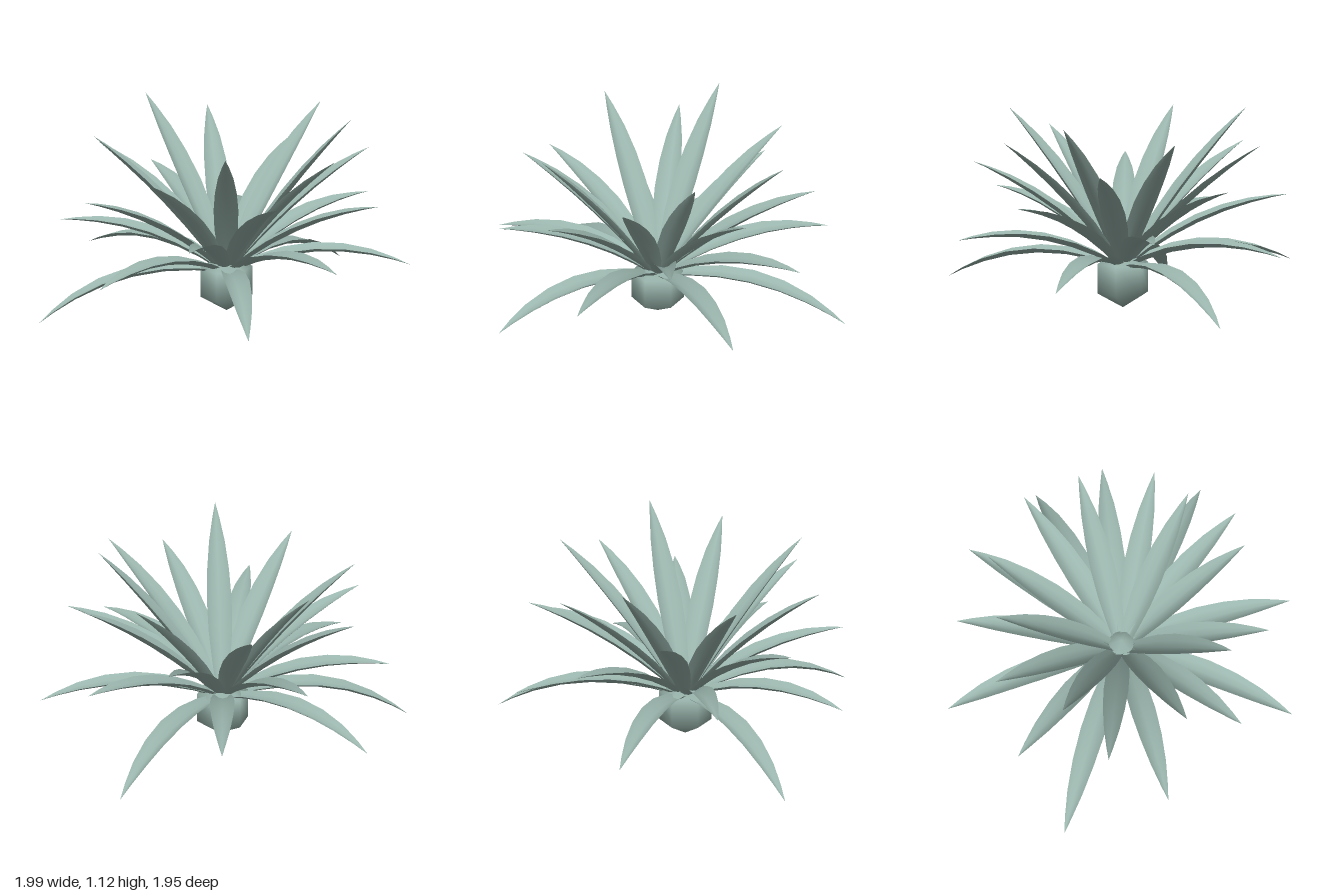
import * as THREE from 'three';

// Tip of every leaf: x, y, z, ordered from the drooping outer ones to the upright inner ones
const TIPS = [
  [-1.0, 0.0, 0.3], [0.52, 0.07, -0.92], [0.23, 0.14, 0.97], [-0.82, 0.21, -0.59],
  [0.99, 0.27, -0.15], [-0.62, 0.33, 0.73], [-0.04, 0.38, -0.98], [0.68, 0.44, 0.65],
  [-0.92, 0.49, -0.06], [0.71, 0.54, -0.61], [-0.11, 0.6, 0.87], [-0.5, 0.64, -0.75],
  [0.86, 0.69, 0.17], [-0.73, 0.73, 0.41], [0.26, 0.78, -0.82], [0.36, 0.82, 0.73],
  [-0.74, 0.86, -0.33], [0.75, 0.89, -0.29], [-0.35, 0.92, 0.67], [-0.19, 0.96, -0.76],
  [0.64, 1.0, 0.38], [-0.72, 1.02, 0.1], [0.45, 1.05, -0.59], [0.07, 1.08, 0.68],
  [-0.5, 1.1, -0.49], [0.68, 1.12, -0.02],
];

// Half width of a leaf along its length: position, half width
const WIDTHS = [[0, 0.036], [0.12, 0.05], [0.28, 0.064], [0.45, 0.068],
  [0.62, 0.06], [0.78, 0.043], [0.91, 0.02], [1, 0.0005]];
const ACROSS = [-1, -0.55, 0, 0.55, 1];

// Channelled blade that follows an arching midrib from the core to its tip
function leafGeometry(tip) {
  const up = new THREE.Vector3(0, 1, 0);
  const out = new THREE.Vector3(tip.x, 0, tip.z).normalize();
  const side = new THREE.Vector3().crossVectors(up, out);
  const start = out.clone().multiplyScalar(0.05).setY(0.25 + 0.04 * tip.y);
  const chord = tip.clone().sub(start).normalize();
  const lift = new THREE.Vector3().crossVectors(chord, side);
  const bulge = 0.125 - 0.085 * tip.y;
  const control = start.clone().add(tip).multiplyScalar(0.5).addScaledVector(lift, 2 * bulge);
  const midrib = new THREE.QuadraticBezierCurve3(start, control, tip);

  const positions = [], indices = [], n = ACROSS.length;
  WIDTHS.forEach(([t, half], i) => {
    const centre = midrib.getPoint(t);
    const normal = new THREE.Vector3().crossVectors(midrib.getTangent(t), side);
    ACROSS.forEach((a, j) => {
      const p = centre.clone().addScaledVector(side, a * half)
        .addScaledVector(normal, (a * a - 0.5) * half * 0.5);
      positions.push(p.x, p.y, p.z);
      if (i < WIDTHS.length - 1 && j < n - 1) {
        const k = i * n + j;
        indices.push(k, k + n, k + 1, k + 1, k + n, k + n + 1);
      }
    });
  });
  const geometry = new THREE.BufferGeometry();
  geometry.setAttribute('position', new THREE.Float32BufferAttribute(positions, 3));
  geometry.setIndex(indices);
  geometry.computeVertexNormals();
  return geometry;
}

export function createModel() {
  const model = new THREE.Group();
  model.name = 'rosettePlant';
  const green = new THREE.MeshStandardMaterial({ color: 0x9ab5ad, side: THREE.DoubleSide });
  green.name = 'greyGreen';

  // Faceted core that the leaves grow from
  const core = new THREE.Mesh(new THREE.SphereGeometry(0.165, 6, 3), green);
  core.name = 'core';
  core.position.y = 0.185;
  core.rotation.y = 0.25;
  model.add(core);

  // Leaf rosette
  const leaves = new THREE.Group();
  leaves.name = 'leaves';
  for (const tip of TIPS) {
    const leaf = new THREE.Mesh(leafGeometry(new THREE.Vector3(...tip)), green);
    leaf.name = 'leaf';
    leaves.add(leaf);
  }
  model.add(leaves);
  return model;
}
